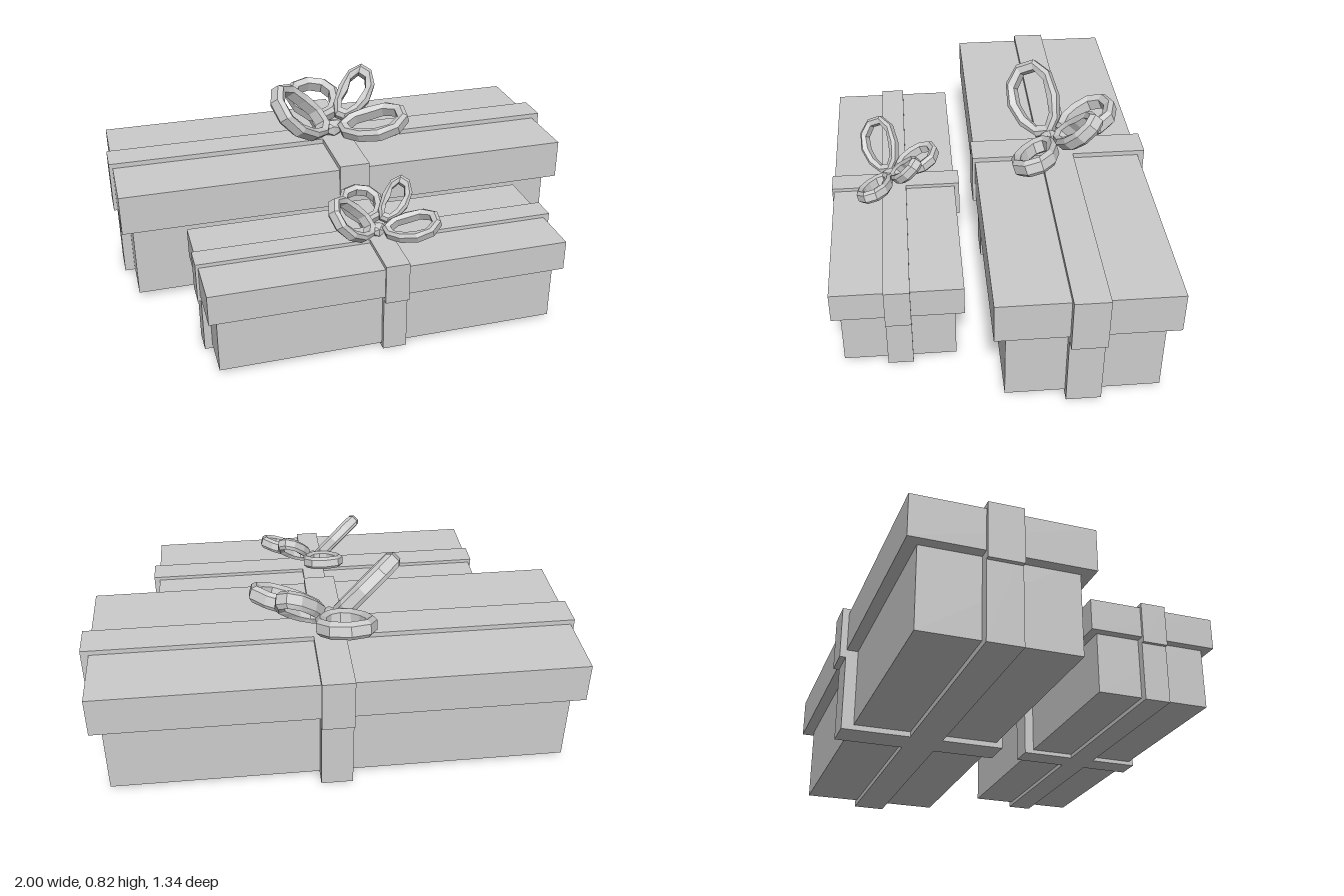
import * as THREE from 'three';

const material = new THREE.MeshStandardMaterial({ color: 0xcccccc, flatShading: true });

// Box given by its minimum and maximum on each axis
function block(name, [x0, x1], [y0, y1], [z0, z1]) {
  const mesh = new THREE.Mesh(new THREE.BoxGeometry(x1 - x0, y1 - y0, z1 - z0), material);
  mesh.position.set((x0 + x1) / 2, (y0 + y1) / 2, (z0 + z1) / 2);
  mesh.name = name;
  return mesh;
}

// Band section: outward offset and offset along the loop's axis
const SECTION = [[0, -0.02], [0, 0.02], [-0.018, 0.036], [-0.045, 0.024], [-0.045, -0.024], [-0.018, -0.036]];

// Closed faceted ribbon loop: u points from the knot to the tip, v across
function bowLoop(name, centre, along, across, sides = 10) {
  const c = new THREE.Vector3(...centre);
  const u = new THREE.Vector3(...along);
  const v = new THREE.Vector3(...across);
  const n = u.clone().cross(v).normalize();
  const points = [];
  const index = [];
  const m = SECTION.length;
  for (let i = 0; i < sides; i++) {
    const t = (i / sides) * Math.PI * 2;
    // The loop narrows towards the knot
    const spread = Math.sin(t) * (0.88 + 0.16 * Math.cos(t));
    const arm = u.clone().multiplyScalar(Math.cos(t)).addScaledVector(v, spread);
    const out = arm.clone().normalize();
    SECTION.forEach(([r, h], j) => {
      points.push(...c.clone().add(arm).addScaledVector(out, r).addScaledVector(n, h).toArray());
      const i2 = (i + 1) % sides;
      const j2 = (j + 1) % m;
      const a = i * m + j, b = i2 * m + j, d = i2 * m + j2, e = i * m + j2;
      index.push(a, b, d, a, d, e);
    });
  }
  const geometry = new THREE.BufferGeometry();
  geometry.setAttribute('position', new THREE.Float32BufferAttribute(points, 3));
  geometry.setIndex(index);
  const flat = geometry.toNonIndexed();
  flat.computeVertexNormals();
  const mesh = new THREE.Mesh(flat, material);
  mesh.name = name;
  return mesh;
}

function createBow() {
  const bow = new THREE.Group();
  bow.name = 'bow';
  bow.add(
    bowLoop('frontLeftLoop', [0.17, 0.6, 0.11], [0.145, 0.03, 0.06], [-0.05, -0.045, 0.09]),
    bowLoop('frontRightLoop', [-0.155, 0.67, 0.08], [-0.13, 0.1, 0.06], [-0.01, 0.09, -0.1]),
    bowLoop('backLoop', [-0.04, 0.64, -0.13], [-0.01, 0.05, -0.125], [-0.135, 0, 0]),
    bowLoop('backLeftLoop', [0.125, 0.68, -0.06], [0.1, 0.08, -0.05], [-0.035, 0.065, -0.065])
  );
  // Small faceted knot where the loops meet
  const knot = new THREE.Mesh(new THREE.IcosahedronGeometry(1, 0), material);
  knot.name = 'knot';
  knot.scale.set(0.06, 0.04, 0.05);
  knot.position.set(0, 0.565, 0.03);
  bow.add(knot);
  return bow;
}

function createGift(name, scale, z) {
  const gift = new THREE.Group();
  gift.name = name;
  const bandX = [-0.055, 0.075];
  const bandZ = [-0.06, 0.077];
  gift.add(
    block('boxBody', [-0.94, 0.925], [0.022, 0.4], [-0.294, 0.311]),
    block('lid', [-0.985, 0.968], [0.345, 0.514], [-0.341, 0.358]),
    // Ribbon bands around the body
    block('bodyRibbonLong', [-0.982, 0.958], [0, 0.4], bandZ),
    block('bodyRibbonShort', bandX, [0, 0.4], [-0.344, 0.337]),
    // Ribbon bands over the lid
    block('lidRibbonLong', [-1, 1], [0.312, 0.535], bandZ),
    block('lidRibbonShort', bandX, [0.312, 0.535], [-0.369, 0.369]),
    createBow()
  );
  gift.scale.setScalar(scale);
  gift.position.z = z;
  return gift;
}

export function createModel() {
  const model = new THREE.Group();
  model.name = 'giftBoxes';
  model.add(createGift('largeGift', 1, -0.3), createGift('smallGift', 0.74, 0.4));
  return model;
}
